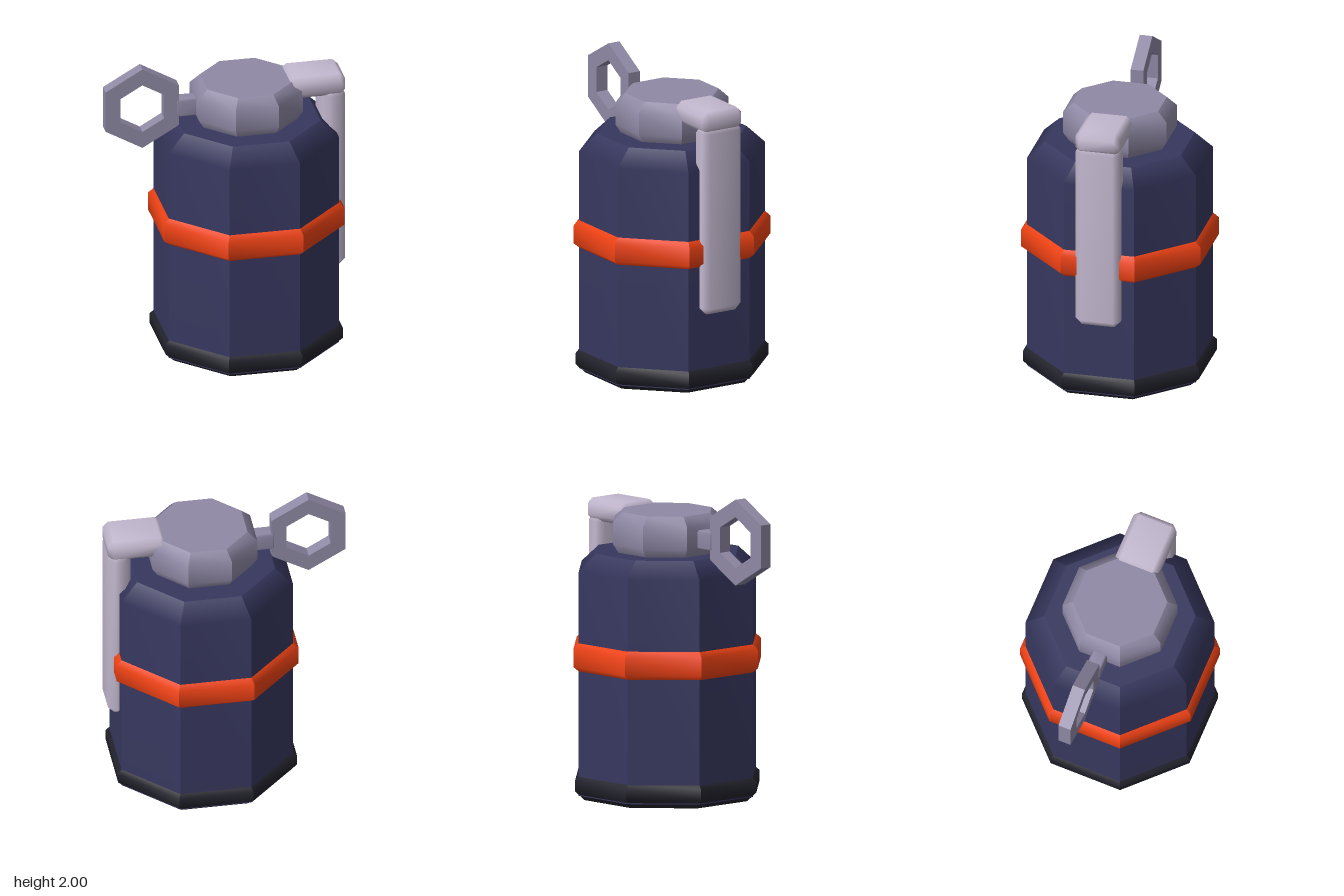
import * as THREE from 'three';
import { mergeGeometries, mergeVertices } from 'three/addons/utils/BufferGeometryUtils.js';
import { ConvexGeometry } from 'three/addons/geometries/ConvexGeometry.js';

const CENTRE_X = 0.152;
const paint = (color) => new THREE.MeshStandardMaterial({ color });

// Eight-sided solid from [apothem, y] points: crisp vertical corners, soft bevels.
// Repeating a point in the profile makes a crisp horizontal edge.
function octagonal(profile) {
  const points = profile.map(([a, y]) => new THREE.Vector2(a / Math.cos(Math.PI / 8), y));
  const panels = [];
  for (let i = 0; i < 8; i++) {
    const panel = new THREE.LatheGeometry(points, 1, (i - 0.5) * Math.PI / 4, Math.PI / 4);
    panel.computeVertexNormals();
    panels.push(panel);
  }
  return mergeGeometries(panels);
}

// Box with chamfered edges and area-weighted smooth normals.
function bevelBox(w, h, d, c) {
  const points = [];
  for (const x of [-1, 1]) for (const y of [-1, 1]) for (const z of [-1, 1]) {
    for (let axis = 0; axis < 3; axis++) {
      const inset = [c, c, c];
      inset[axis] = 0;
      points.push(new THREE.Vector3(
        x * (w / 2 - inset[0]), y * (h / 2 - inset[1]), z * (d / 2 - inset[2])));
    }
  }
  const convex = new ConvexGeometry(points);
  convex.deleteAttribute('normal');
  const geometry = mergeVertices(convex, 1e-4);
  geometry.computeVertexNormals();
  return geometry;
}

function hexagon(target, radius) {
  const points = [];
  for (let i = 0; i < 6; i++) {
    const a = Math.PI / 2 + i * Math.PI / 3;
    points.push(new THREE.Vector2(radius * Math.cos(a), radius * Math.sin(a)));
  }
  return target.setFromPoints(points).closePath();
}

export function createModel() {
  const group = new THREE.Group();
  const add = (name, geometry, material, x, y = 0, z = 0) => {
    const mesh = new THREE.Mesh(geometry, material);
    mesh.name = name;
    mesh.position.set(x, y, z);
    group.add(mesh);
  };
  const navy = paint(0x37375f);
  const dark = paint(0x22222c);
  const orange = paint(0xf04214);
  const metal = paint(0x8f89a5);
  const pale = paint(0xc4b9d0);

  // Main canister with bevelled shoulder
  add('body', octagonal([
    [0.557, 0.03], [0.557, 1.48], [0.447, 1.59], [0.447, 1.59], [0, 1.59],
  ]), navy, CENTRE_X);

  // Dark foot
  add('base', octagonal([
    [0, 0], [0.52, 0], [0.52, 0], [0.58, 0.06], [0.58, 0.13], [0.55, 0.16],
  ]), dark, CENTRE_X);

  // Raised band around the middle
  add('band', octagonal([
    [0.55, 0.83], [0.59, 0.865], [0.59, 0.985], [0.55, 1.025],
  ]), orange, CENTRE_X);

  // Cap on top
  add('cap', octagonal([
    [0.305, 1.585], [0.34, 1.645], [0.34, 1.79], [0.28, 1.85], [0.28, 1.85], [0, 1.85],
  ]), metal, CENTRE_X);

  // Pin and hexagonal pull ring
  add('pin', bevelBox(0.19, 0.122, 0.1, 0.012), metal, -0.22, 1.7);
  const outline = hexagon(new THREE.Shape(), 0.278);
  outline.holes.push(hexagon(new THREE.Path(), 0.165));
  const ring = new THREE.ExtrudeGeometry(outline, { depth: 0.084, bevelEnabled: false });
  add('pullRing', ring, metal, -0.537, 1.722, -0.042);

  // Safety lever: short arm over the cap and long bar down the side
  add('leverArm', bevelBox(0.375, 0.145, 0.296, 0.036), pale, 0.5875, 1.8);
  add('leverBar', bevelBox(0.147, 1.25, 0.296, 0.042), pale, 0.7015, 1.145);

  return group;
}
